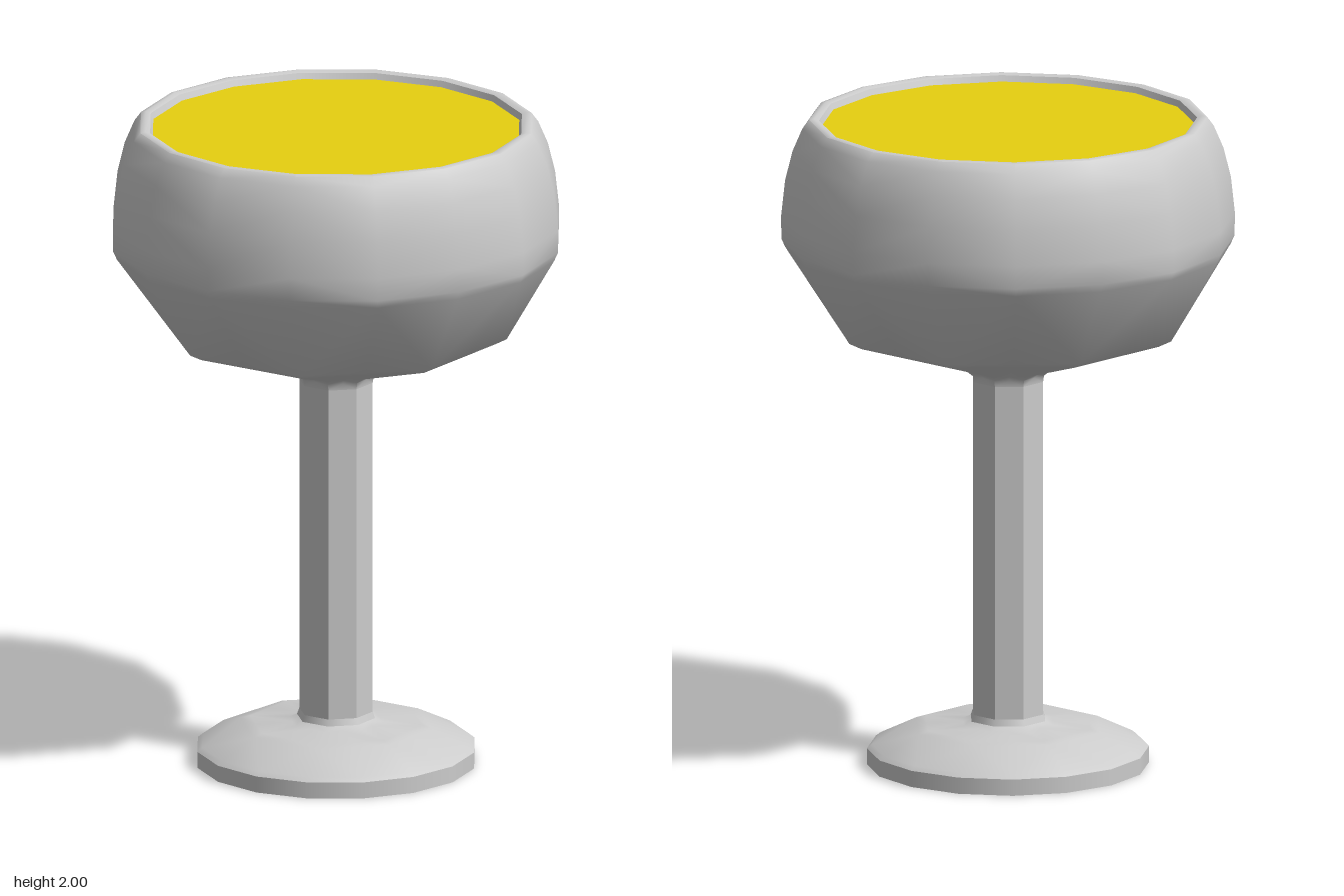
import * as THREE from 'three';
import { toCreasedNormals } from 'three/addons/utils/BufferGeometryUtils.js';

const SIDES = 16;
const grey = new THREE.MeshStandardMaterial({ color: 0xcccccc, side: THREE.DoubleSide });
const yellow = new THREE.MeshStandardMaterial({ color: 0xe6d010 });

// Skin a stack of rings [radius, y, corners], listed from bottom to top.
// An 8-cornered ring keeps 16 points, with every even one at the middle of an edge.
function skin(name, rings) {
  const pos = [], index = [];
  for (const [r, y, corners] of rings) {
    for (let j = 0; j < SIDES; j++) {
      const a = (j / SIDES) * Math.PI * 2;
      const k = corners === 8 && j % 2 === 0 ? Math.cos(Math.PI / 8) : 1;
      pos.push(r * k * Math.cos(a), y, -r * k * Math.sin(a));
    }
  }
  for (let i = 0; i < rings.length - 1; i++) {
    const lowerIsEight = rings[i][2] === 8;
    for (let j = 0; j < SIDES; j++) {
      const n = (j + 1) % SIDES;
      const a = i * SIDES + j, b = i * SIDES + n, c = b + SIDES, d = a + SIDES;
      // The diagonal starts at a corner of the 8-sided ring, giving triangular facets
      if ((j % 2 === 1) === lowerIsEight) index.push(a, b, c, a, c, d);
      else index.push(a, b, d, b, c, d);
    }
  }
  const g = new THREE.BufferGeometry();
  g.setAttribute('position', new THREE.Float32BufferAttribute(pos, 3));
  g.setIndex(index);
  const mesh = new THREE.Mesh(toCreasedNormals(g, 0.75), grey);
  mesh.name = name;
  return mesh;
}

function disc(name, radius, y, faceUp) {
  const g = new THREE.CircleGeometry(radius, SIDES);
  g.rotateX(faceUp ? -Math.PI / 2 : Math.PI / 2);
  const mesh = new THREE.Mesh(g, yellow);
  mesh.name = name;
  mesh.position.y = y;
  return mesh;
}

export function createModel() {
  const model = new THREE.Group();
  model.name = 'goblet';

  // Foot: 16-sided edge, faceted slope up to an 8-sided top
  model.add(skin('foot', [
    [0.425, 0, 16], [0.425, 0.05, 16], [0.41, 0.062, 16],
    [0.295, 0.118, 8], [0.265, 0.126, 8], [0.145, 0.13, 8], [0.12, 0.14, 8], [0.113, 0.16, 8],
  ]));
  model.add(disc('footUnderside', 0.425, 0, false));

  // Stem
  model.add(skin('stem', [[0.113, 0.16, 8], [0.113, 1.19, 8]]));

  // Bowl: 8-sided underside, faceted flare, rounded 16-sided wall, rolled rim
  model.add(skin('bowl', [
    [0.113, 1.19, 8], [0.116, 1.21, 8], [0.135, 1.225, 8],
    [0.485, 1.33, 8], [0.525, 1.35, 8],
    [0.672, 1.605, 16], [0.683, 1.63, 16], [0.684, 1.7, 16], [0.672, 1.81, 16],
    [0.65, 1.9, 16], [0.62, 1.97, 16], [0.6, 1.997, 16],
    [0.585, 2, 16], [0.57, 1.995, 16], [0.56, 1.97, 16],
  ]));

  // Drink filling the bowl to just below the rim
  model.add(disc('drink', 0.562, 1.977, true));
  return model;
}
